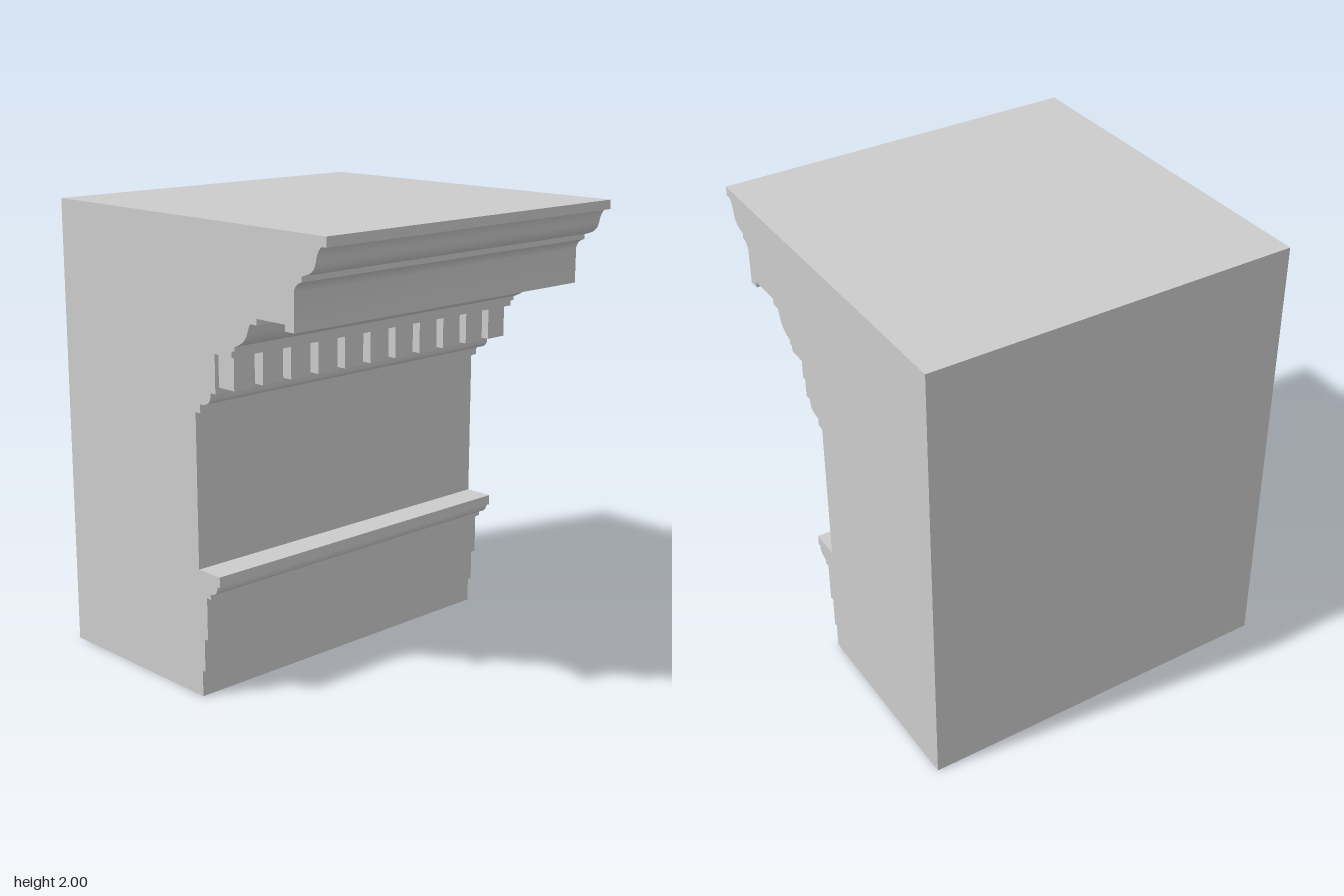
import * as THREE from 'three';
import { toCreasedNormals } from 'three/addons/utils/BufferGeometryUtils.js';

const HALF = 0.823; // half of the length along z

export function createModel() {
  const group = new THREE.Group();
  const material = new THREE.MeshStandardMaterial({ color: 0xcccccc });

  // Moulding profile from the bottom up, in x and y
  const s = new THREE.Shape();
  const line = (...points) => points.forEach(([x, y]) => s.lineTo(x, y));
  s.moveTo(-HALF, 0);

  // Architrave: three stepped bands and a capping moulding
  line([0.07, 0], [0.07, 0.115], [0.087, 0.115], [0.087, 0.26], [0.108, 0.26], [0.108, 0.445], [0.132, 0.445], [0.132, 0.466]);
  s.bezierCurveTo(0.17, 0.472, 0.175, 0.49, 0.177, 0.512);
  line([0.192, 0.512], [0.192, 0.557]);

  // Plain frieze, then the small moulding below the dentils
  line([0.06, 0.557], [0.06, 1.222], [0.09, 1.222], [0.09, 1.258]);
  s.bezierCurveTo(0.135, 1.262, 0.152, 1.272, 0.155, 1.297);
  line([0.157, 1.316], [0.187, 1.316]);

  // Dentil band and the ogee above it
  line([0.187, 1.478], [0.29, 1.478], [0.29, 1.505], [0.307, 1.505], [0.307, 1.523]);
  s.bezierCurveTo(0.395, 1.555, 0.375, 1.585, 0.402, 1.626);
  line([0.44, 1.626], [0.44, 1.652]);

  // Corona with a drip edge, then the crown moulding
  line([0.6, 1.652], [0.6, 1.626], [0.65, 1.626], [0.65, 1.78]);
  s.quadraticCurveTo(0.659, 1.812, 0.692, 1.82);
  line([0.692, 1.842]);
  s.bezierCurveTo(0.8, 1.865, 0.745, 1.915, 0.798, 1.96);
  line([HALF, 1.96], [HALF, 2], [-HALF, 2]);
  s.closePath();

  const body = new THREE.ExtrudeGeometry(s, { depth: HALF * 2, bevelEnabled: false, curveSegments: 12 });
  body.translate(0, 0, -HALF);
  const entablature = new THREE.Mesh(toCreasedNormals(body, 0.5), material);
  entablature.name = 'entablature';
  group.add(entablature);

  // Row of eleven dentils
  const dentils = new THREE.Group();
  dentils.name = 'dentils';
  const block = new THREE.BoxGeometry(0.098, 0.138, 0.106);
  for (let i = 0; i < 11; i++) {
    const dentil = new THREE.Mesh(block, material);
    dentil.name = 'dentil';
    dentil.position.set(0.231, 1.41, 0.007 + (i - 5) * 0.1488);
    dentils.add(dentil);
  }
  group.add(dentils);
  return group;
}
